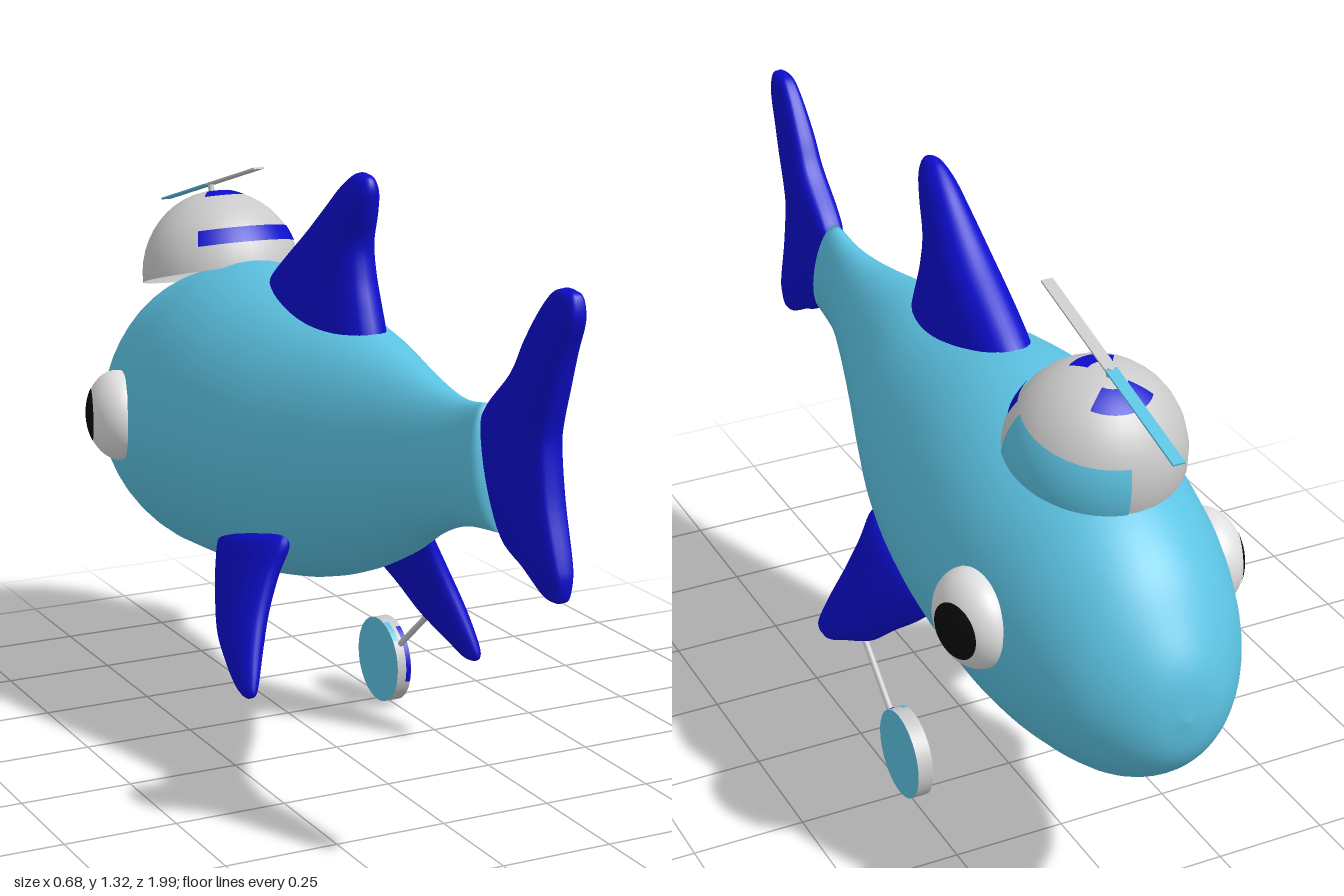
import * as THREE from 'three';

const mat = (name, color) => {
  const m = new THREE.MeshStandardMaterial({ color });
  m.name = name;
  return m;
};
const skyBlue = mat('sky blue', 0x5cc3e3);
const deepBlue = mat('deep blue', 0x0d0dcc);
const grey = mat('light grey', 0xcacaca);
const white = mat('eye white', 0xe0e0e0);
const black = mat('pupil black', 0x0b0b0b);
grey.side = THREE.DoubleSide;

const V = (x, y, z) => new THREE.Vector3(x, y, z);

// Smooth skin through oval sections {c, a, up, down}; p < 1 makes the ovals boxier.
function loft(sections, p = 1, steps = 5, sides = 40) {
  const curve = (key) => new THREE.CatmullRomCurve3(sections.map((s) => s[key]), false, 'catmullrom', 0.5);
  const [C, A, U, D] = ['c', 'a', 'up', 'down'].map(curve);
  const n = (sections.length - 1) * steps;
  const pos = [], idx = [];
  for (let i = 0; i <= n; i++) {
    const t = i / n, c = C.getPoint(t), a = A.getPoint(t), u = U.getPoint(t), d = D.getPoint(t);
    for (let j = 0; j < sides; j++) {
      const th = (j / sides) * Math.PI * 2, s = Math.sin(th);
      const k = Math.pow(Math.abs(s), p);
      pos.push(...c.clone().addScaledVector(a, Math.cos(th)).addScaledVector(s >= 0 ? u : d, k).toArray());
    }
  }
  const mid = sections[sections.length >> 1];
  const along = sections[sections.length - 1].c.clone().sub(sections[0].c);
  const flip = mid.a.clone().cross(mid.up).dot(along) < 0;
  const tri = (x, y, z) => (flip ? idx.push(x, z, y) : idx.push(x, y, z));
  for (let i = 0; i < n; i++) {
    for (let j = 0; j < sides; j++) {
      const k = (j + 1) % sides, r = i * sides, q = r + sides;
      tri(r + j, r + k, q + j);
      tri(r + k, q + k, q + j);
    }
  }
  // end caps
  const first = pos.length / 3;
  pos.push(...sections[0].c.toArray(), ...sections[sections.length - 1].c.toArray());
  for (let j = 0; j < sides; j++) {
    const k = (j + 1) % sides;
    tri(first, k, j);
    tri(first + 1, n * sides + j, n * sides + k);
  }
  const g = new THREE.BufferGeometry();
  g.setAttribute('position', new THREE.Float32BufferAttribute(pos, 3));
  g.setIndex(idx);
  g.computeVertexNormals();
  return g;
}

function add(parent, name, geometry, material) {
  const m = new THREE.Mesh(geometry, material);
  m.name = name;
  parent.add(m);
  return m;
}

// Upright fin from rows of [y, front z, back z, half thickness]
const uprightFin = (rows, p) => loft(rows.map(([y, f, b, w]) => ({
  c: V(0, y, (f + b) / 2), a: V(0, 0, (b - f) / 2), up: V(w, 0, 0), down: V(-w, 0, 0),
})), p);

export function createModel() {
  const model = new THREE.Group();
  model.name = 'flyingFish';

  // Body: [z, bottom, top, half width, slant of the section]
  const bodyRows = [
    [-1, 0.575, 0.585, 0.004, 0], [-0.985, 0.49, 0.675, 0.075, 0], [-0.94, 0.425, 0.755, 0.14, 0],
    [-0.86, 0.373, 0.858, 0.202, 0], [-0.74, 0.341, 0.944, 0.247, 0], [-0.6, 0.327, 0.997, 0.274, 0],
    [-0.45, 0.336, 1.037, 0.286, 0], [-0.3, 0.352, 1.046, 0.28, 0], [-0.15, 0.37, 1.03, 0.259, 0],
    [0, 0.405, 1.006, 0.227, 0], [0.16, 0.462, 0.988, 0.179, 0], [0.32, 0.538, 0.959, 0.127, 0],
    [0.46, 0.62, 0.935, 0.087, 0], [0.58, 0.673, 0.929, 0.057, 0.01], [0.7, 0.695, 0.943, 0.041, 0.035],
  ];
  add(model, 'body', loft(bodyRows.map(([z, b, t, w, s]) => ({
    c: V(0, b + (t - b) * 0.47, z), a: V(w, 0, 0),
    up: V(0, (t - b) * 0.53, -s), down: V(0, -(t - b) * 0.47, s),
  })), 1, 5, 48), skyBlue);

  // Tail fin
  add(model, 'tailFin', uprightFin([
    [0.612, 0.925, 0.945, 0.006], [0.622, 0.895, 0.96, 0.02], [0.66, 0.825, 0.966, 0.03],
    [0.7, 0.745, 0.957, 0.038], [0.8, 0.69, 0.925, 0.043], [0.9, 0.667, 0.909, 0.043],
    [0.95, 0.69, 0.913, 0.042], [1.03, 0.778, 0.937, 0.039], [1.1, 0.822, 0.962, 0.035],
    [1.165, 0.868, 0.992, 0.028], [1.208, 0.91, 0.988, 0.02], [1.221, 0.94, 0.97, 0.006],
  ], 0.55), deepBlue);

  // Back fin
  add(model, 'dorsalFin', uprightFin([
    [0.95, -0.33, 0.19, 0.085], [0.99, -0.31, 0.176, 0.083], [1.04, -0.27, 0.157, 0.077],
    [1.1, -0.19, 0.136, 0.068], [1.166, -0.095, 0.128, 0.057], [1.23, -0.015, 0.153, 0.045],
    [1.28, 0.045, 0.168, 0.033], [1.31, 0.09, 0.16, 0.018], [1.319, 0.115, 0.135, 0.005],
  ], 0.9), deepBlue);

  // Side fins: [x, y, front z, back z, half thickness, rise toward the back]
  const sideRows = [
    [0.155, 0.515, -0.18, 0.07, 0.02, 0.03], [0.168, 0.487, -0.232, 0.09, 0.043, 0.033],
    [0.195, 0.43, -0.19, 0.087, 0.045, 0.03], [0.225, 0.365, -0.125, 0.1, 0.042, 0.02],
    [0.25, 0.3, -0.06, 0.125, 0.037, 0.012], [0.269, 0.245, 0.025, 0.15, 0.026, 0],
    [0.276, 0.218, 0.075, 0.154, 0.017, 0], [0.279, 0.206, 0.105, 0.135, 0.005, 0],
  ];
  for (const s of [1, -1]) {
    const side = s > 0 ? 'left' : 'right';
    add(model, side + 'SideFin', loft(sideRows.map(([x, y, f, b, w, r]) => ({
      c: V(s * x, y, (f + b) / 2), a: V(0, r, (b - f) / 2),
      up: V(s * w * 0.93, w * 0.36, 0), down: V(-s * w * 0.93, -w * 0.36, 0),
    }))), deepBlue);

    // Bulging eye with a pupil turned toward the nose
    const eye = new THREE.Group();
    eye.name = side + 'Eye';
    eye.position.set(s * 0.265, 0.667, -0.607);
    eye.rotation.y = s > 0 ? 0.12 : Math.PI - 0.12;
    eye.scale.set(0.073, 0.105, 0.105);
    add(eye, 'eyeball', new THREE.SphereGeometry(1, 36, 24), white);
    const pupil = add(eye, 'pupil', new THREE.SphereGeometry(1.015, 36, 10, 0, Math.PI * 2, 0, 0.61), black);
    pupil.rotation.set(0, s * 0.26, -Math.PI / 2);
    model.add(eye);
  }

  // Domed cap tipped toward the nose, with painted patches
  const cap = new THREE.Group();
  cap.name = 'propellerCap';
  cap.position.set(0, 0.98, -0.602);
  cap.rotation.x = -0.27;
  const R = 0.185;
  const dome = (r, p0, pl, t0, tl) => new THREE.SphereGeometry(r, 28, 12, p0, pl, t0, tl).scale(1, 1.05, 1);
  add(cap, 'dome', dome(R, 0, Math.PI * 2, 0, Math.PI / 2), grey);
  const patches = [
    [2.85, 1.75, 1.05, 0.52, skyBlue], [0.9, 1.7, 1.08, 0.2, deepBlue],
    [3.85, 1.8, 0.2, 0.3, deepBlue], [0.95, 1.25, 0.25, 0.22, deepBlue],
  ];
  for (const [p0, pl, t0, tl, m] of patches) add(cap, 'domePatch', dome(R + 0.002, p0, pl, t0, tl), m);

  // Propeller: a two-tone blade on a short pin
  add(cap, 'propellerPin', new THREE.CylinderGeometry(0.007, 0.007, 0.03, 12), grey).position.y = 0.2;
  for (const [s, m] of [[-1, skyBlue], [1, grey]]) {
    add(cap, 'propellerBlade', new THREE.BoxGeometry(0.026, 0.004, 0.277), m).position.set(0, 0.211, s * 0.1385);
  }
  model.add(cap);

  // Round paddle held by the left side fin
  const paddle = new THREE.Group();
  paddle.name = 'paddle';
  paddle.position.set(0.2465, 0.103, -0.24);
  paddle.rotation.z = Math.PI / 2;
  add(paddle, 'paddleDisc', new THREE.CylinderGeometry(0.1, 0.1, 0.035, 40), [grey, skyBlue, skyBlue]);
  const band = (h, t0, tl) => new THREE.CylinderGeometry(0.1012, 0.1012, h, 16, 1, true, t0, tl);
  add(paddle, 'rimPatch', band(0.012, -0.3, 1.4), deepBlue).position.y = -0.01;
  add(paddle, 'rimPatch', band(0.012, 0.7, 0.6), skyBlue).position.y = 0.011;
  model.add(paddle);

  const from = V(0.2465, 0.31, 0.02), to = V(0.2465, 0.15, -0.175);
  const stick = add(model, 'paddleStick', new THREE.CylinderGeometry(0.007, 0.007, from.distanceTo(to), 12), grey);
  stick.position.copy(from).add(to).multiplyScalar(0.5);
  stick.quaternion.setFromUnitVectors(V(0, 1, 0), from.clone().sub(to).normalize());

  return model;
}
